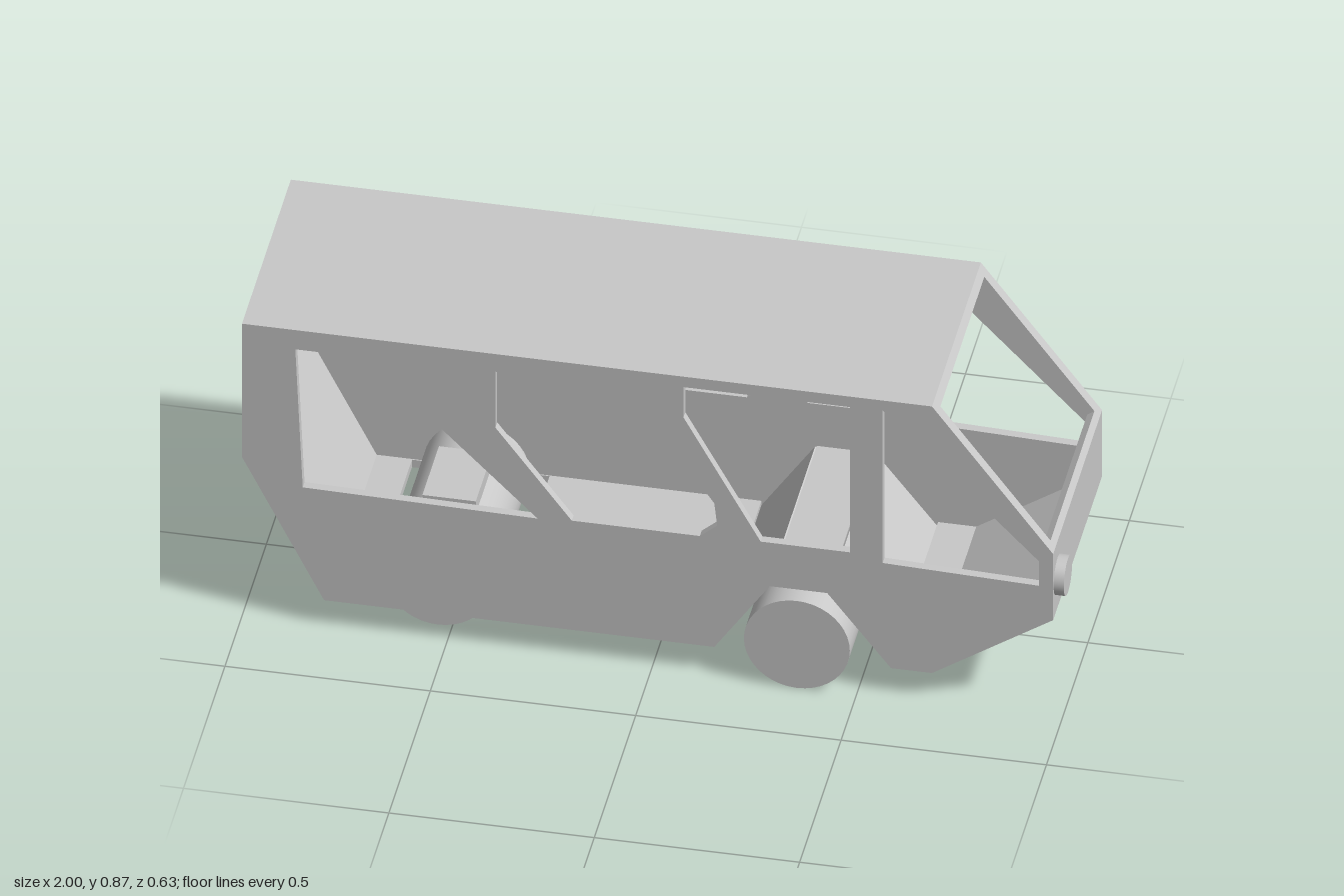
import * as THREE from 'three';

const HALF = 0.295; // half width of the body
const WALL = 0.022;
const ARCH = 0.005;
const WHEEL_RADIUS = 0.129;

// Side silhouette, clockwise from the upper rear corner
const OUTLINE = [
  [-1, 0.868], [0.68, 0.868], [0.975, 0.473], [0.975, 0.277], [0.68, 0.077], [0.58, 0.077],
  [0.425, 0.277], [0.285, 0.277], [0.15, 0.077], [-0.8, 0.077], [-1, 0.473],
];

const WINDOWS = [
  [[-0.87, 0.811], [-0.7, 0.811], [-0.28, 0.395], [-0.852, 0.404]],
  [[-0.383, 0.816], [-0.06, 0.816], [0.15, 0.503], [0.157, 0.438], [0.115, 0.401], [-0.197, 0.401], [-0.383, 0.65]],
  [[0.075, 0.837], [0.48, 0.837], [0.48, 0.406], [0.263, 0.406], [0.075, 0.747]],
  [[0.56, 0.839], [0.94, 0.447], [0.94, 0.374], [0.56, 0.386]],
];

const toPoints = (list) => list.map(([x, y]) => new THREE.Vector2(x, y));

function plate(points, holes, depth) {
  const shape = new THREE.Shape(toPoints(points));
  for (const hole of holes) shape.holes.push(new THREE.Path(toPoints(hole)));
  return new THREE.ExtrudeGeometry(shape, { depth, bevelEnabled: false });
}

const rect = (u0, v0, u1, v1) => [[u0, v0], [u1, v0], [u1, v1], [u0, v1]];

// Panel across the body that follows one edge of the silhouette
function crossPanel(a, b, thickness, holes) {
  const dir = new THREE.Vector3(b[0] - a[0], b[1] - a[1], 0);
  const length = dir.length();
  dir.normalize();
  const across = new THREE.Vector3(0, 0, 1);
  const outward = new THREE.Vector3().crossVectors(across, dir);
  const w = HALF - 0.002;
  const geometry = plate(rect(-w, 0, w, length), holes, thickness);
  geometry.translate(0, 0, -thickness);
  geometry.applyMatrix4(new THREE.Matrix4().makeBasis(across, dir, outward).setPosition(a[0], a[1], 0));
  return geometry;
}

export function createModel() {
  const group = new THREE.Group();
  const grey = new THREE.MeshStandardMaterial({ color: 0xc8c8c8, side: THREE.DoubleSide });
  grey.name = 'body grey';

  const add = (name, geometry, x = 0, y = 0, z = 0) => {
    const mesh = new THREE.Mesh(geometry, grey);
    mesh.name = name;
    mesh.position.set(x, y, z);
    group.add(mesh);
  };

  // Side walls with window openings
  const wall = plate(OUTLINE, WINDOWS, WALL);
  add('leftWall', wall, 0, 0, HALF - WALL);
  add('rightWall', wall, 0, 0, -HALF);

  // Roof, nose, floor and wheel arch; the upper rear stays open
  const names = ['roof', 'windscreenFrame', 'nosePanel', 'lowerNose', 'frontFloor',
    'archFront', 'archTop', 'archRear', 'mainFloor', 'rearPanel'];
  const openings = {
    windscreenFrame: [rect(-0.265, 0.021, 0.265, 0.468)],
    mainFloor: [rect(-0.27, 0.515, 0.27, 0.85)],
  };
  // The windscreen opening runs down the slope from the roof edge
  openings.windscreenFrame = [rect(-0.265, 0.024, 0.265, 0.472)];
  names.forEach((name, i) => {
    const thickness = name.startsWith('arch') ? ARCH : WALL;
    add(name, crossPanel(OUTLINE[i], OUTLINE[i + 1], thickness, openings[name] || []));
  });

  // Transverse wheel rollers and their mounting blocks
  for (const [name, x, width] of [['front', 0.355, 0.63], ['rear', -0.535, 0.47]]) {
    const roller = new THREE.CylinderGeometry(WHEEL_RADIUS, WHEEL_RADIUS, width, 40);
    roller.rotateX(Math.PI / 2);
    add(name + 'Wheel', roller, x, WHEEL_RADIUS, 0);
    add(name + 'AxleBlock', new THREE.BoxGeometry(0.13, 0.14, 0.2), x, 0.207, 0);
  }

  // Single headlight on the nose
  const lamp = new THREE.CylinderGeometry(0.05, 0.05, 0.03, 40);
  lamp.rotateZ(-Math.PI / 2);
  add('headlight', lamp, 0.985, 0.374, 0.24);

  return group;
}
